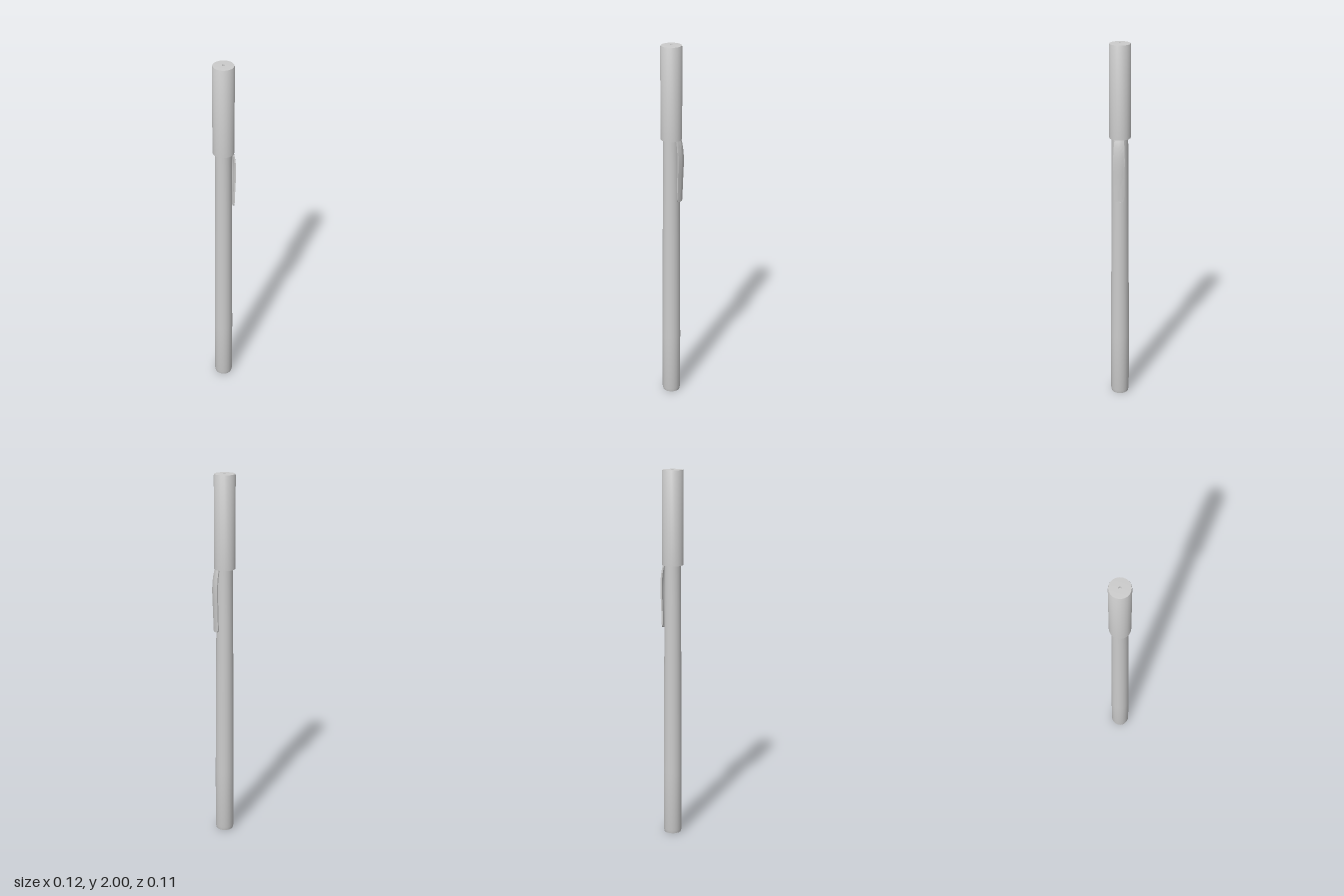
import * as THREE from 'three';
import { toCreasedNormals } from 'three/addons/utils/BufferGeometryUtils.js';

const SIDES = 20;

export function createModel() {
  const model = new THREE.Group();
  const material = new THREE.MeshStandardMaterial({ color: 0xcccccc, side: THREE.DoubleSide });
  const axisX = -0.006;

  function add(name, geometry) {
    const mesh = new THREE.Mesh(toCreasedNormals(geometry, 0.5), material);
    mesh.name = name;
    mesh.position.x = axisX;
    model.add(mesh);
  }
  const lathe = (points) =>
    new THREE.LatheGeometry(points.map(([r, y]) => new THREE.Vector2(r, y)), SIDES);

  // Slightly tapered barrel with a chamfered foot
  add('barrel', lathe([
    [0, 0.004], [0.042, 0.004], [0.046, 0], [0.05, 0.018],
    [0.05, 0.35], [0.047, 0.9], [0.044, 1.3], [0.043, 1.55],
  ]));

  // Wider cap with a softened rim and a small vent hole on top
  add('cap', lathe([
    [0.043, 1.5], [0.0565, 1.5], [0.0565, 1.992], [0.0545, 1.998],
    [0.0075, 2], [0.0075, 1.985], [0, 1.985],
  ]));

  // Clip: a thin strip wrapped around the axis, bowed outward along its length
  const profile = new THREE.SplineCurve([
    [0.059, 1.16], [0.059, 1.165], [0.0595, 1.178], [0.0625, 1.27],
    [0.066, 1.36], [0.065, 1.42], [0.059, 1.47], [0.051, 1.505],
  ].map(([r, y]) => new THREE.Vector2(r, y)));
  const thickness = 0.008, halfAngle = 0.48, midAngle = -0.17, corner = 0.016;
  const clip = new THREE.BoxGeometry(1, 1, 1, 1, 28, 6);
  const pos = clip.attributes.position;
  for (let i = 0; i < pos.count; i++) {
    const p = profile.getPoint(pos.getY(i) + 0.5);
    // Rounded lower corners
    const t = Math.min(1, Math.max(0, 1 - (p.y - 1.16) / corner));
    const half = halfAngle - (1 - Math.sqrt(1 - t * t)) * corner / p.x;
    const angle = midAngle + pos.getZ(i) * 2 * half;
    const r = p.x - (0.5 - pos.getX(i)) * thickness;
    pos.setXYZ(i, r * Math.cos(angle), p.y, r * Math.sin(angle));
  }
  add('clip', clip);

  return model;
}
